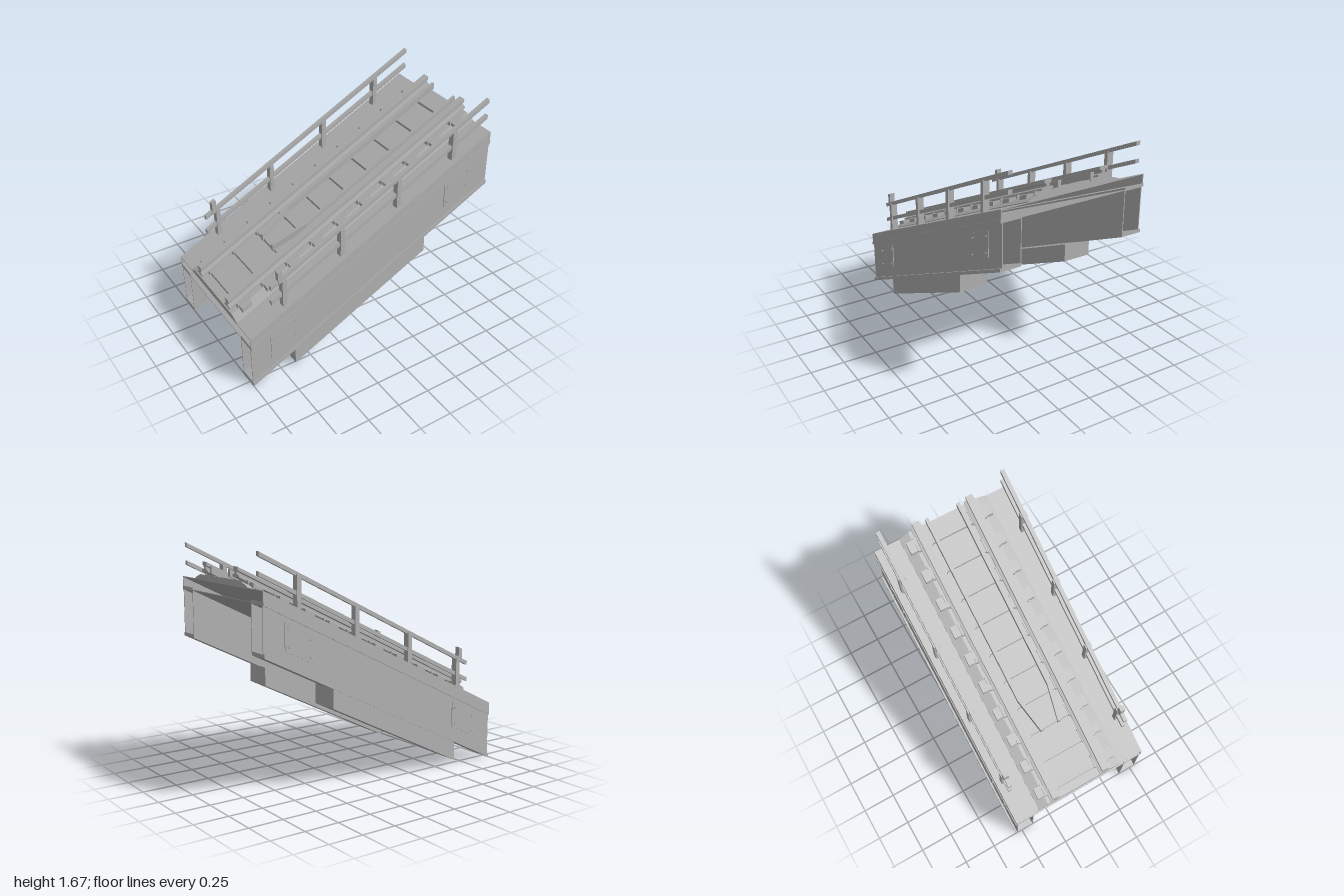
import * as THREE from 'three';

const SLOPE = 0.5;

export function createModel() {
  const model = new THREE.Group();
  model.name = 'slopedRailwayBridge';
  const grey = new THREE.MeshStandardMaterial({ color: 0xb4b4b4 });
  grey.name = 'concreteGrey';

  // everything is laid out level, then slanted: y rises with x
  const slant = new THREE.Matrix4().set(
    1, 0, 0, 0,
    SLOPE, 1, 0, SLOPE,
    0, 0, 1, 0,
    0, 0, 0, 1);

  function add(name, geometry) {
    const g = geometry.index ? geometry.toNonIndexed() : geometry;
    g.applyMatrix4(slant);
    g.computeVertexNormals();
    const mesh = new THREE.Mesh(g, grey);
    mesh.name = name;
    model.add(mesh);
  }

  // box from its limits
  function box(name, x0, x1, y0, y1, z0, z1) {
    const g = new THREE.BoxGeometry(x1 - x0, y1 - y0, Math.abs(z1 - z0));
    g.translate((x0 + x1) / 2, (y0 + y1) / 2, (z0 + z1) / 2);
    add(name, g);
  }

  // constant cross-section of [z, y] points run along x
  function run(name, points, x0, x1) {
    const shape = new THREE.Shape(points.map(([z, y]) => new THREE.Vector2(-z, y)));
    const g = new THREE.ExtrudeGeometry(shape, { depth: x1 - x0, bevelEnabled: false });
    g.rotateY(Math.PI / 2).translate(x0, 0, 0);
    add(name, g);
  }

  // hollow deck, open at both ends
  box('deckTop', -1, 1, 0.424, 0.43, -0.55, 0.55);
  box('deckUnderside', -1, 1, 0.34, 0.346, -0.55, 0.55);

  // ballast bed with sloping shoulders
  run('ballastBed', [[-0.355, 0.43], [0.355, 0.43], [0.355, 0.436],
    [0.28, 0.465], [-0.28, 0.465], [-0.355, 0.436]], -1, 1);

  // sleepers
  for (let i = 0; i < 10; i++) {
    const x = -0.9 + i * 0.2;
    box('sleeper', x - 0.038, x + 0.038, 0.455, 0.485, -0.33, 0.33);
  }

  for (const s of [1, -1]) {
    // hollow box girder, open at both ends
    box('deckEdge', -1, 1, 0.346, 0.424, s * 0.544, s * 0.55);
    box('girderOuterWeb', -1, 1, 0.02, 0.345, s * 0.536, s * 0.542);
    box('girderInnerWeb', -1, 1, 0.02, 0.345, s * 0.4, s * 0.406);
    box('girderBottomFlange', -1, 1, 0, 0.025, s * 0.4, s * 0.555);
    box('girderTopFlange', -1, 1, 0.335, 0.36, s * 0.4, s * 0.555);

    // footing beam beneath the girder
    box('footingBeam', -0.65, 0.46, -0.137, 0.003, s * 0.33, s * 0.545);

    // bolted plates on the outer web
    for (const x of [-0.732, 0.728]) {
      box('boltedPlate', x - 0.112, x + 0.112, 0.11, 0.3, s * 0.54, s * 0.548);
      for (const dx of [-0.086, 0.086]) for (const y of [0.143, 0.263]) {
        const bolt = new THREE.CylinderGeometry(0.008, 0.008, 0.012, 8);
        bolt.rotateX(Math.PI / 2).translate(x + dx, y, s * 0.549);
        add('bolt', bolt);
      }
    }

    // running rail: foot, web and head
    const c = s * 0.213;
    run('runningRail', [[c - 0.042, 0.487], [c + 0.042, 0.487], [c + 0.042, 0.5],
      [c + 0.012, 0.508], [c + 0.012, 0.525], [c + 0.027, 0.53], [c + 0.027, 0.555],
      [c - 0.027, 0.555], [c - 0.027, 0.53], [c - 0.012, 0.525],
      [c - 0.012, 0.508], [c - 0.042, 0.5]], -1, 1);

    // rail chairs on every sleeper
    for (let i = 0; i < 10; i++) {
      const x = -0.9 + i * 0.2;
      box('railChair', x - 0.046, x + 0.046, 0.465, 0.493, s * 0.16, s * 0.275);
    }

    // guard rail with its end turned inward
    const path = [[-0.55, 0.06], [-0.3, 0.113], [1, 0.113], [1, 0.138], [-0.3, 0.138], [-0.55, 0.085]];
    const shape = new THREE.Shape(path.map(([x, z]) => new THREE.Vector2(x, s * z)));
    const guard = new THREE.ExtrudeGeometry(shape, { depth: 0.048, bevelEnabled: false });
    guard.rotateX(Math.PI / 2).translate(0, 0.53, 0);
    add('guardRail', guard);

    // handrail
    box('handrailTop', -0.8, 1, 0.64, 0.67, s * 0.472, s * 0.502);
    box('handrailLower', -0.8, 1, 0.515, 0.545, s * 0.472, s * 0.502);
    for (const x of [-0.7, -0.232, 0.236, 0.705])
      box('handrailPost', x - 0.017, x + 0.017, 0.43, 0.65, s * 0.464, s * 0.512);
    box('handrailEndStub', -0.745, -0.712, 0.64, 0.74, s * 0.468, s * 0.506);
  }
  return model;
}
